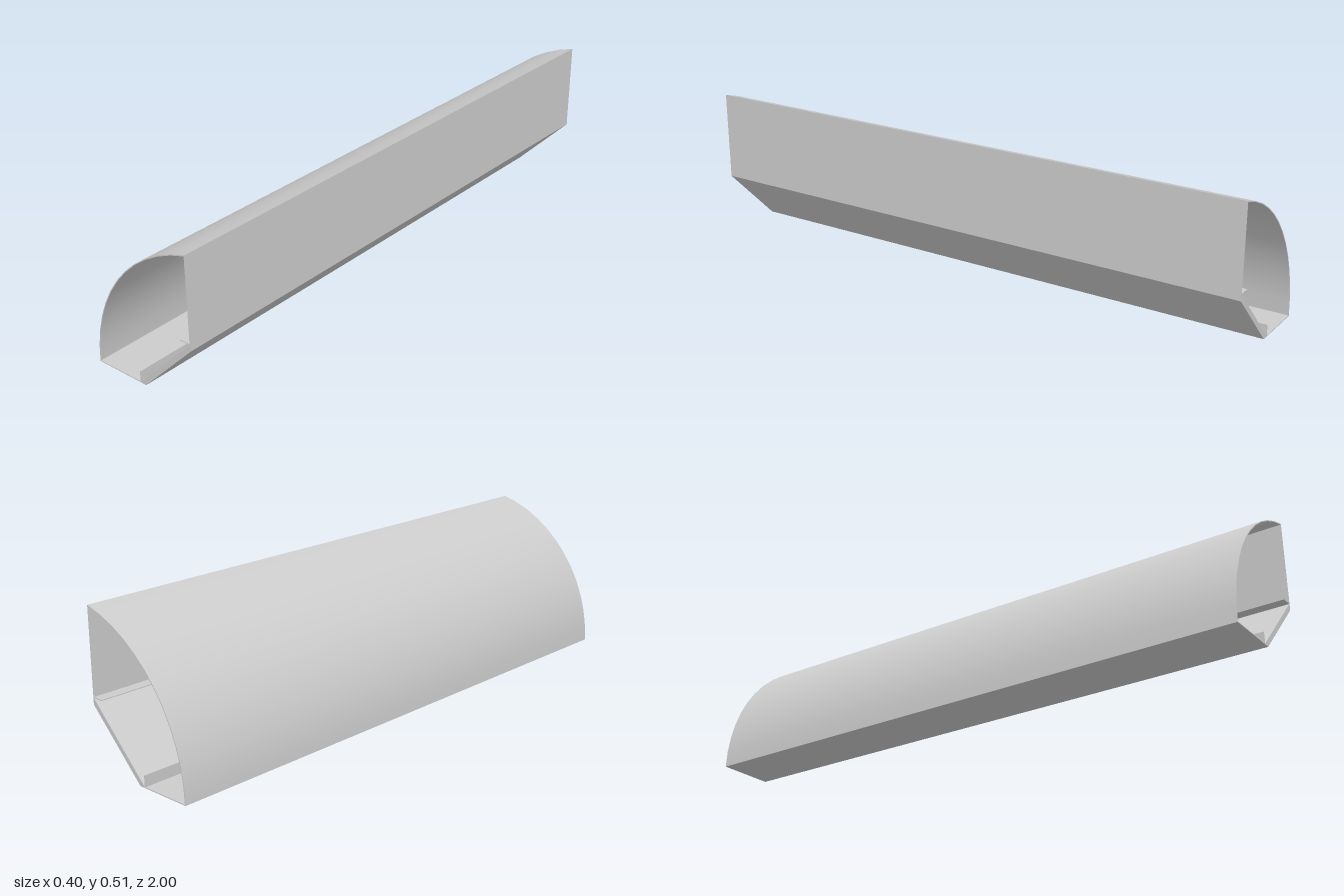
import * as THREE from 'three';
import { toCreasedNormals } from 'three/addons/utils/BufferGeometryUtils.js';

const LENGTH = 2;
const T = 0.003; // sheet thickness

export function createModel() {
  const group = new THREE.Group();
  const material = new THREE.MeshStandardMaterial({ color: 0xcccccc });

  // Extrudes an x/y cross-section along the full length
  function addProfile(name, points) {
    const shape = new THREE.Shape(points.map(([x, y]) => new THREE.Vector2(x, y)));
    const geometry = new THREE.ExtrudeGeometry(shape, { depth: LENGTH, bevelEnabled: false });
    geometry.translate(0, 0, -LENGTH / 2);
    const mesh = new THREE.Mesh(toCreasedNormals(geometry, Math.PI / 6), material);
    mesh.name = name;
    group.add(mesh);
  }

  // Curved cover: a thin arc meeting the base and the upright wall
  const cx = 0.32, radius = 0.52, segments = 12;
  const arc = (r) => {
    const end = Math.acos((0.2 - cx) / r);
    return Array.from({ length: segments + 1 }, (_, i) => {
      const a = Math.PI + (end - Math.PI) * (i / segments);
      return [cx + r * Math.cos(a), r * Math.sin(a)];
    });
  };
  addProfile('curvedCover', [...arc(radius), ...arc(radius - T).reverse()]);

  // Base sheet with its upturned lip
  addProfile('basePlate', [
    [-0.197, 0], [-0.02, 0], [-0.02, 0.04], [-0.02 - T, 0.04], [-0.02 - T, T], [-0.197, T],
  ]);

  // Upright wall with its inward lip
  addProfile('uprightWall', [
    [0.2, 0.221], [0.2, 0.505], [0.2 - 0.002, 0.505], [0.2 - 0.002, 0.224], [0.16, 0.224], [0.16, 0.221],
  ]);

  // Sloping panel closing the corner between base and wall
  addProfile('slopingPanel', [
    [0, 0], [0.2, 0.2], [0.2, 0.221], [0.198, 0.221], [-0.02, 0.003], [-0.02, 0],
  ]);

  return group;
}
